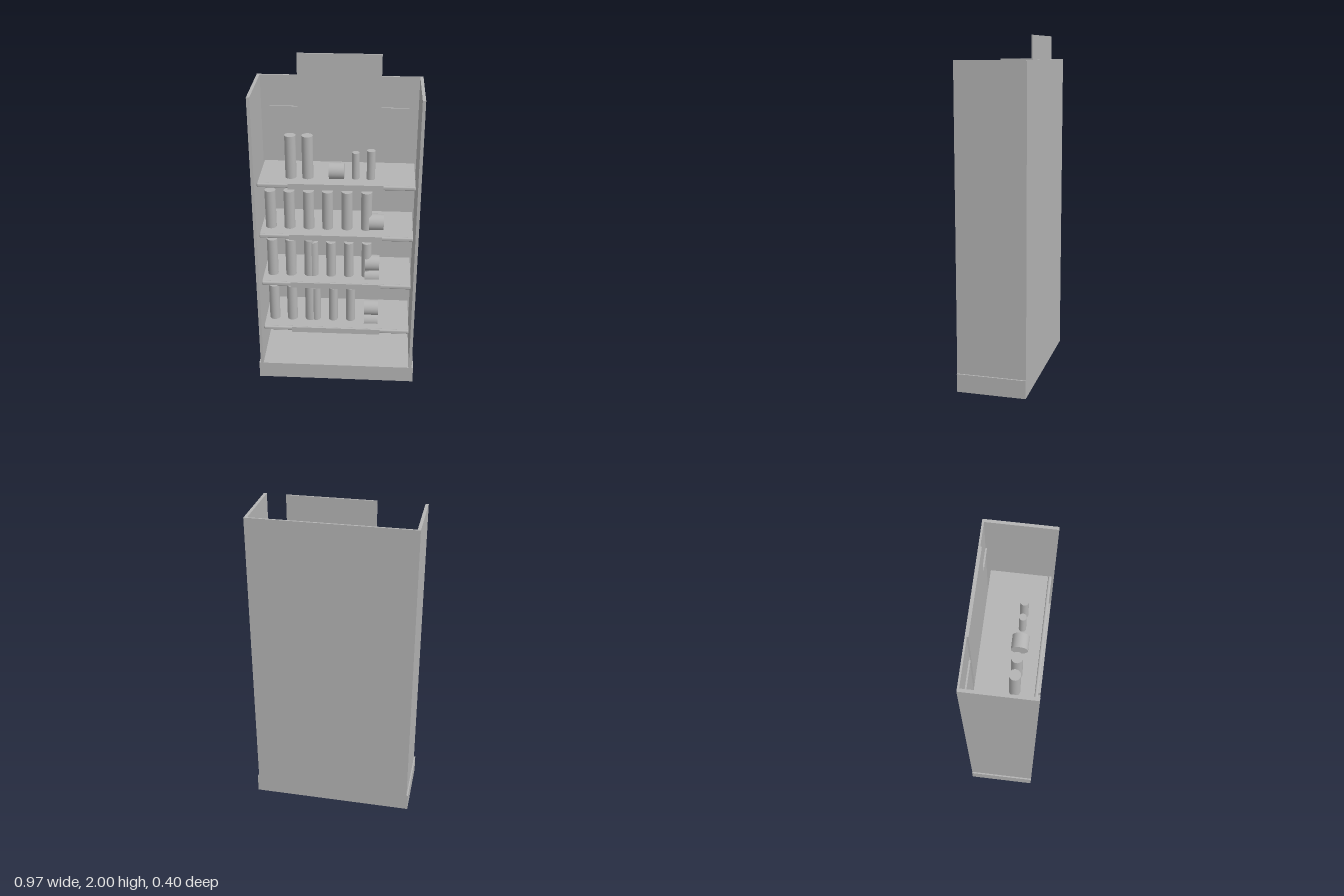
import * as THREE from 'three';
import { RoundedBoxGeometry } from 'three/addons/geometries/RoundedBoxGeometry.js';

export function createModel() {
  const model = new THREE.Group();
  model.name = 'displayShelf';
  const grey = new THREE.MeshStandardMaterial({ color: 0xb4b4b4 });
  grey.name = 'light grey';

  const add = (parent, name, geometry, x, y, z) => {
    const mesh = new THREE.Mesh(geometry, grey);
    mesh.name = name;
    mesh.position.set(x, y, z);
    parent.add(mesh);
    return mesh;
  };
  // box given by its lower and upper limits
  const box = (parent, name, [x0, x1], [y0, y1], [z0, z1]) =>
    add(parent, name, new THREE.BoxGeometry(x1 - x0, y1 - y0, z1 - z0),
      (x0 + x1) / 2, (y0 + y1) / 2, (z0 + z1) / 2);

  // cabinet
  box(model, 'base', [-0.485, 0.485], [0, 0.107], [-0.202, 0.202]);
  box(model, 'backPanel', [-0.458, 0.458], [0.107, 1.866], [-0.202, -0.191]);
  box(model, 'rightSide', [-0.476, -0.458], [0.107, 1.866], [-0.202, 0.202]);
  box(model, 'leftSide', [0.458, 0.476], [0.107, 1.866], [-0.202, 0.202]);

  // header sign and the thin bar behind it
  box(model, 'headerBar', [-0.405, 0.405], [1.68, 1.684], [-0.182, -0.173]);
  box(model, 'headerPanel', [-0.242, 0.242], [1.14, 2], [-0.178, -0.169]);

  // each shelf: bottom height, bottles as [x, radius, top], rolls as [x, centre height]
  const row = (xs, radius, top) => xs.map((x) => [x, radius, top]);
  const big = [-0.391, -0.28, -0.167];
  const shelves = [
    { y: 0.355, rolls: [[0.212, 0.459], [0.212, 0.372]],
      bottles: [...row(big, 0.032, 0.61), ...row([-0.13, -0.024, 0.084], 0.028, 0.6)] },
    { y: 0.68, rolls: [[0.212, 0.783], [0.212, 0.696]],
      bottles: [...row(big, 0.032, 0.935), ...row([-0.143, -0.037, 0.07, 0.177], 0.029, 0.922)] },
    { y: 1.006, rolls: [[0.232, 1.063]],
      bottles: row([...big, -0.056, 0.058, 0.172], 0.032, 1.257) },
    { y: 1.332, rolls: [[-0.002, 1.388]],
      bottles: [...row([-0.265, -0.168], 0.032, 1.6), [0.106, 0.021, 1.503], [0.193, 0.024, 1.517]] },
  ];

  const itemZ = 0.058;
  shelves.forEach(({ y, bottles, rolls }, i) => {
    const shelf = new THREE.Group();
    shelf.name = `shelf${i + 1}`;
    model.add(shelf);
    box(shelf, 'shelfBoard', [-0.446, 0.446], [y + 0.001, y + 0.012], [-0.165, 0.172]);
    add(shelf, 'frontLip', new RoundedBoxGeometry(0.892, 0.025, 0.02, 3, 0.008), 0, y + 0.0125, 0.179);
    box(shelf, 'labelStrip', [-0.27, 0.267], [y - 0.002, y + 0.033], [0.189, 0.2]);

    for (const [x, radius, top] of bottles) {
      const height = top - y - 0.012;
      add(shelf, 'bottle', new THREE.CylinderGeometry(radius, radius, height, 32), x, top - height / 2, itemZ);
    }
    for (const [x, centre] of rolls) {
      const roll = add(shelf, 'roll', new THREE.CylinderGeometry(0.048, 0.048, 0.086, 40), x, centre, itemZ);
      roll.rotation.z = Math.PI / 2;
    }
  });
  return model;
}
